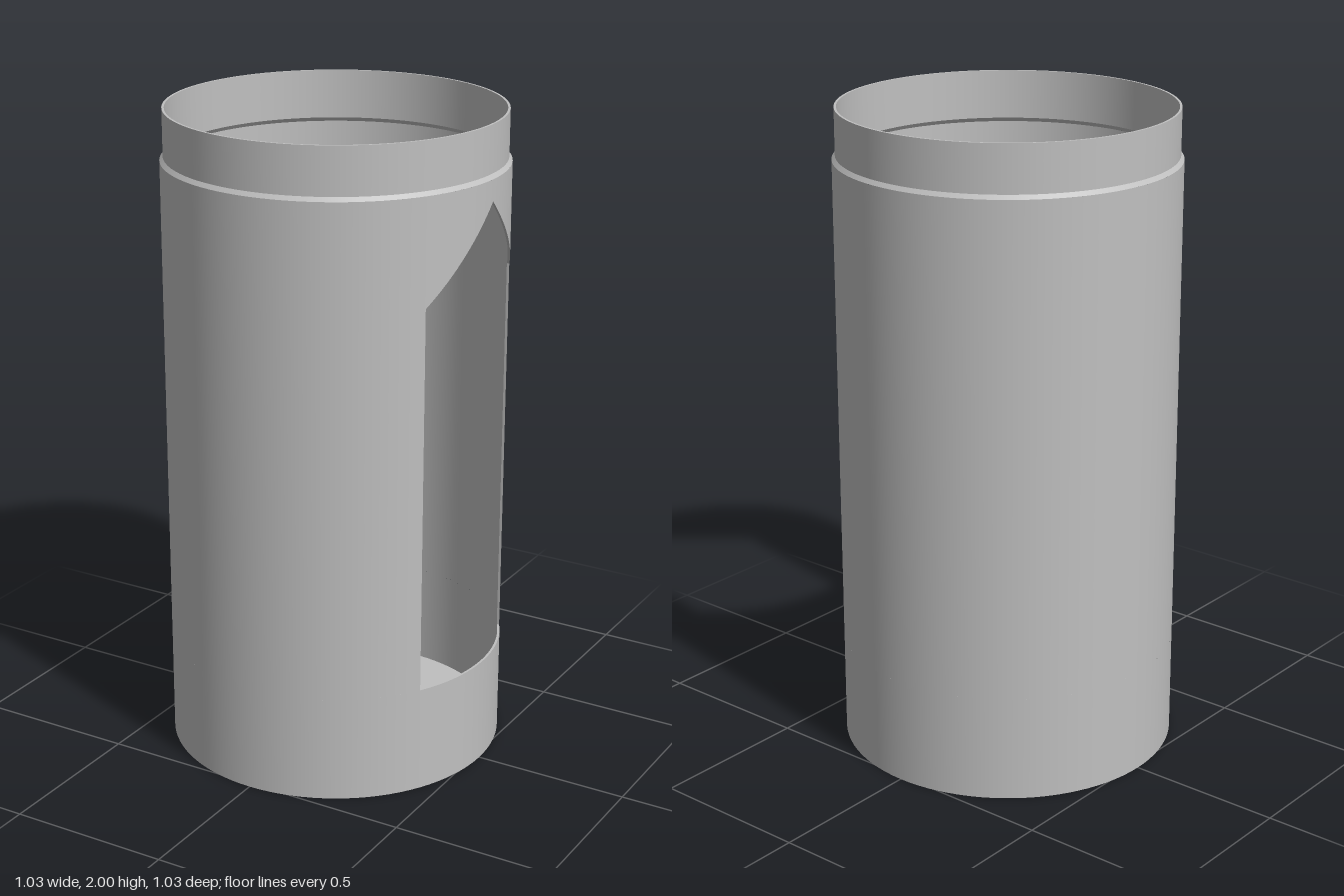
import * as THREE from 'three';
import { mergeGeometries } from 'three/addons/utils/BufferGeometryUtils.js';

const R = 0.517, RI = 0.51;              // body outer and inner radius
const NECK = 0.507, NECK_I = 0.5;        // neck outer and inner radius
const W = 0.262, SILL = 0.33, SHOULDER = 1.52, APEX = 1.78; // window outline
const TOP = 1.845, TOP_I = 1.837;        // ends of the straight wall, outside and inside
const SEG = 96;

// Straight profile segment turned about y, with a gap of +-gap radians at +x
function ring(a, b, gap = 0) {
  const pts = [new THREE.Vector2(...a), new THREE.Vector2(...b)];
  return new THREE.LatheGeometry(pts, SEG, Math.PI / 2 + gap, Math.PI * 2 - 2 * gap);
}

// Chain of sharp-edged turned segments
function turned(profile) {
  return mergeGeometries(profile.slice(1).map((p, i) => ring(profile[i], p)));
}

// Surface between two rows of points
function strip(a, b) {
  const pos = [], idx = [], uv = [];
  a.forEach((p, i) => {
    pos.push(...p, ...b[i]);
    uv.push(i, 0, i, 1);
    if (i) idx.push(2 * i - 2, 2 * i, 2 * i + 1, 2 * i - 2, 2 * i + 1, 2 * i - 1);
  });
  const g = new THREE.BufferGeometry();
  g.setAttribute('position', new THREE.Float32BufferAttribute(pos, 3));
  g.setAttribute('uv', new THREE.Float32BufferAttribute(uv, 2));
  g.setIndex(idx);
  g.computeVertexNormals();
  return g;
}

// Point on the +x side of a cylinder of radius r
const onWall = (r, z, y) => [Math.sqrt(r * r - z * z), y, z];

export function createModel() {
  const group = new THREE.Group();
  const metal = new THREE.MeshStandardMaterial({ color: 0xc0c0c0 });
  const add = (name, geometry) => {
    const mesh = new THREE.Mesh(geometry, metal);
    mesh.name = name;
    group.add(mesh);
  };
  metal.name = 'grey metal';

  // Closed bottom and the cup below the window
  add('base', turned([[0, 0], [R, 0], [R, SILL]]));
  add('baseInside', turned([[RI, SILL], [RI, 0.01], [0, 0.01]]));

  // Main wall on both sides of the window
  add('wallOutside', ring([R, SILL], [R, TOP], Math.asin(W / R)));
  add('wallInside', ring([RI, TOP_I], [RI, SILL], Math.asin(W / RI)));

  // Stepped neck with its bevelled shoulder and rim
  add('neck', turned([[R, TOP], [NECK, 1.857], [NECK, 2], [NECK_I, 2], [NECK_I, 1.85], [RI, TOP_I]]));

  // Wall above the pointed window head
  const N = 32;
  const zs = Array.from({ length: N + 1 }, (_, i) => W - 2 * W * i / N);
  const head = z => APEX - Math.abs(z) / W * (APEX - SHOULDER);
  const lower = r => zs.map(z => onWall(r, z, head(z)));
  const upper = (r, y) => zs.map(z => onWall(r, z, y));
  add('windowHeadOutside', strip(lower(R), upper(R, TOP)));
  add('windowHeadInside', strip(upper(RI, TOP_I), lower(RI)));

  // Cut edges of the wall around the window
  const outline = [[W, SILL], [-W, SILL], [-W, SHOULDER], [0, APEX], [W, SHOULDER]];
  const edges = outline.map((p, k) => {
    const q = outline[(k + 1) % outline.length];
    const row = r => Array.from({ length: N + 1 }, (_, i) =>
      onWall(r, p[0] + (q[0] - p[0]) * i / N, p[1] + (q[1] - p[1]) * i / N));
    return strip(row(R), row(RI));
  });
  add('windowEdges', mergeGeometries(edges));

  return group;
}
